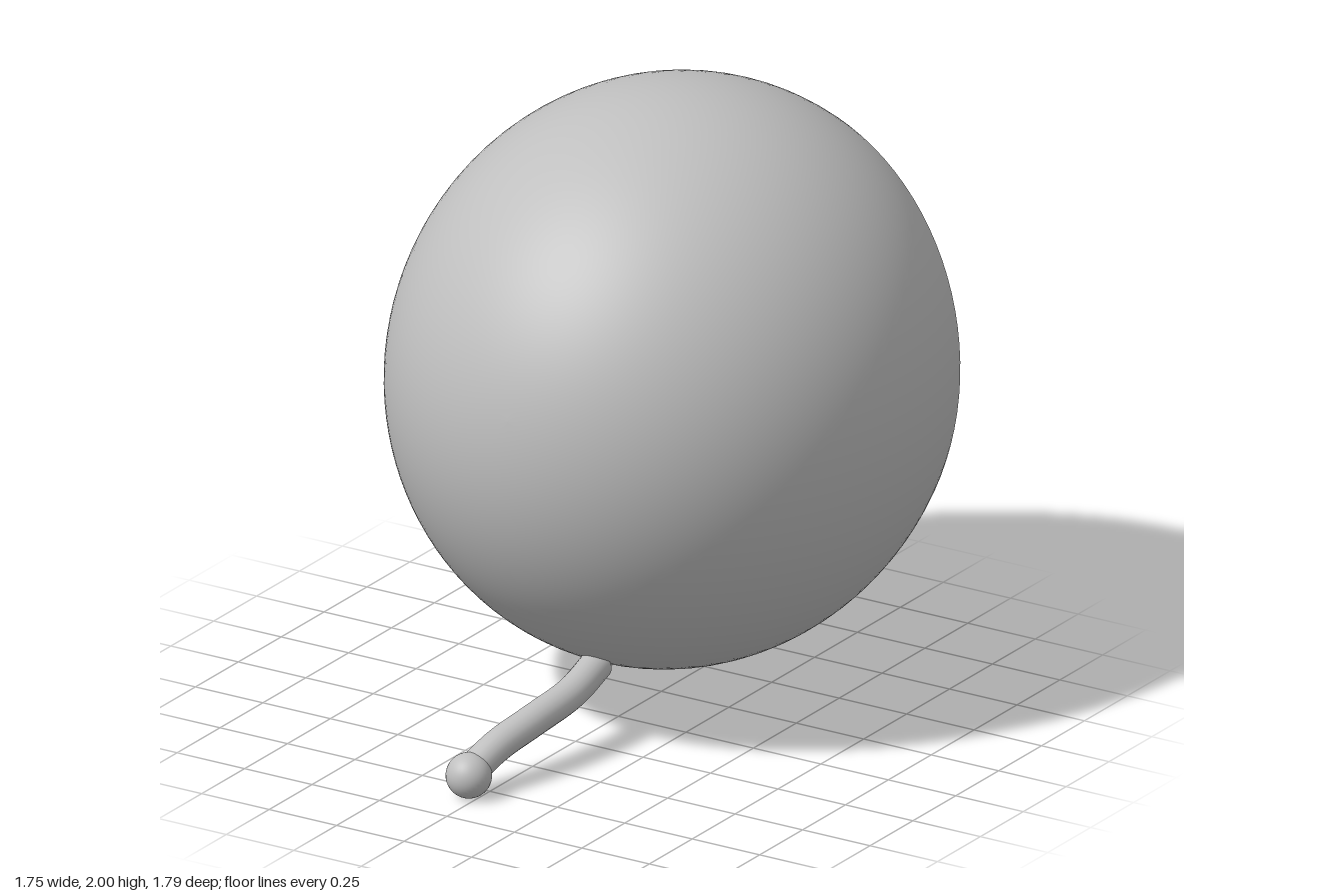
import * as THREE from 'three';

export function createModel() {
  const model = new THREE.Group();
  const grey = new THREE.MeshStandardMaterial({ color: 0xbfbfbf });
  grey.name = 'plain grey';

  const add = (name, geometry, parent = model) => {
    const mesh = new THREE.Mesh(geometry, grey);
    mesh.name = name;
    parent.add(mesh);
    return mesh;
  };
  const ellipsoid = (name, pos, size, w = 48, h = 32) => {
    const mesh = add(name, new THREE.SphereGeometry(1, w, h));
    mesh.position.set(...pos);
    mesh.scale.set(...size);
    return mesh;
  };

  // Hollow shell: lathe about the axis through the opening, from front pole to rim
  const cut = 0.455;
  const arc = (r, steps) => {
    const end = Math.PI / 2 + Math.asin(cut / r);
    return Array.from({ length: steps + 1 }, (_, i) => {
      const a = (end * i) / steps;
      return new THREE.Vector2(r * Math.sin(a), -r * Math.cos(a));
    });
  };
  const shell = new THREE.Group();
  shell.name = 'shell';
  shell.position.set(0, 1.06, -0.32);
  shell.rotation.x = -1.726;
  shell.scale.set(0.875, 0.98, 0.94);
  model.add(shell);

  const outer = arc(1, 48);
  const inner = arc(0.985, 20).reverse();
  add('outerShell', new THREE.LatheGeometry(outer, 96), shell);
  add('shellRim', new THREE.LatheGeometry([outer[outer.length - 1], inner[0]], 96), shell);
  // Faceted lining
  const lining = new THREE.LatheGeometry(inner, 48).toNonIndexed();
  lining.computeVertexNormals();
  add('shellLining', lining, shell);

  // Body inside the shell, with a narrow slit mark and a knob below
  ellipsoid('innerBody', [-0.13, 0.745, -0.495], [0.41, 0.48, 0.225]);
  ellipsoid('slit', [-0.14, 0.78, -0.716], [0.012, 0.1, 0.012], 16, 16);
  ellipsoid('knob', [-0.13, 0.21, -0.47], [0.097, 0.097, 0.097], 32, 24);

  // Curved tail with a ball at its tip
  const path = new THREE.CatmullRomCurve3([
    [0.035, 0.245, 0.18], [0.045, 0.205, 0.35], [0.025, 0.172, 0.55],
    [-0.005, 0.135, 0.7], [-0.03, 0.08, 0.825],
  ].map((p) => new THREE.Vector3(...p)));
  add('tail', new THREE.TubeGeometry(path, 32, 0.052, 20));
  const cap = add('tailCap', new THREE.CircleGeometry(0.052, 20));
  cap.position.copy(path.getPoint(0));
  cap.lookAt(path.getPoint(0).sub(path.getTangent(0)));
  ellipsoid('tailBall', [-0.03, 0.073, 0.825], [0.073, 0.073, 0.073], 32, 24);

  return model;
}
